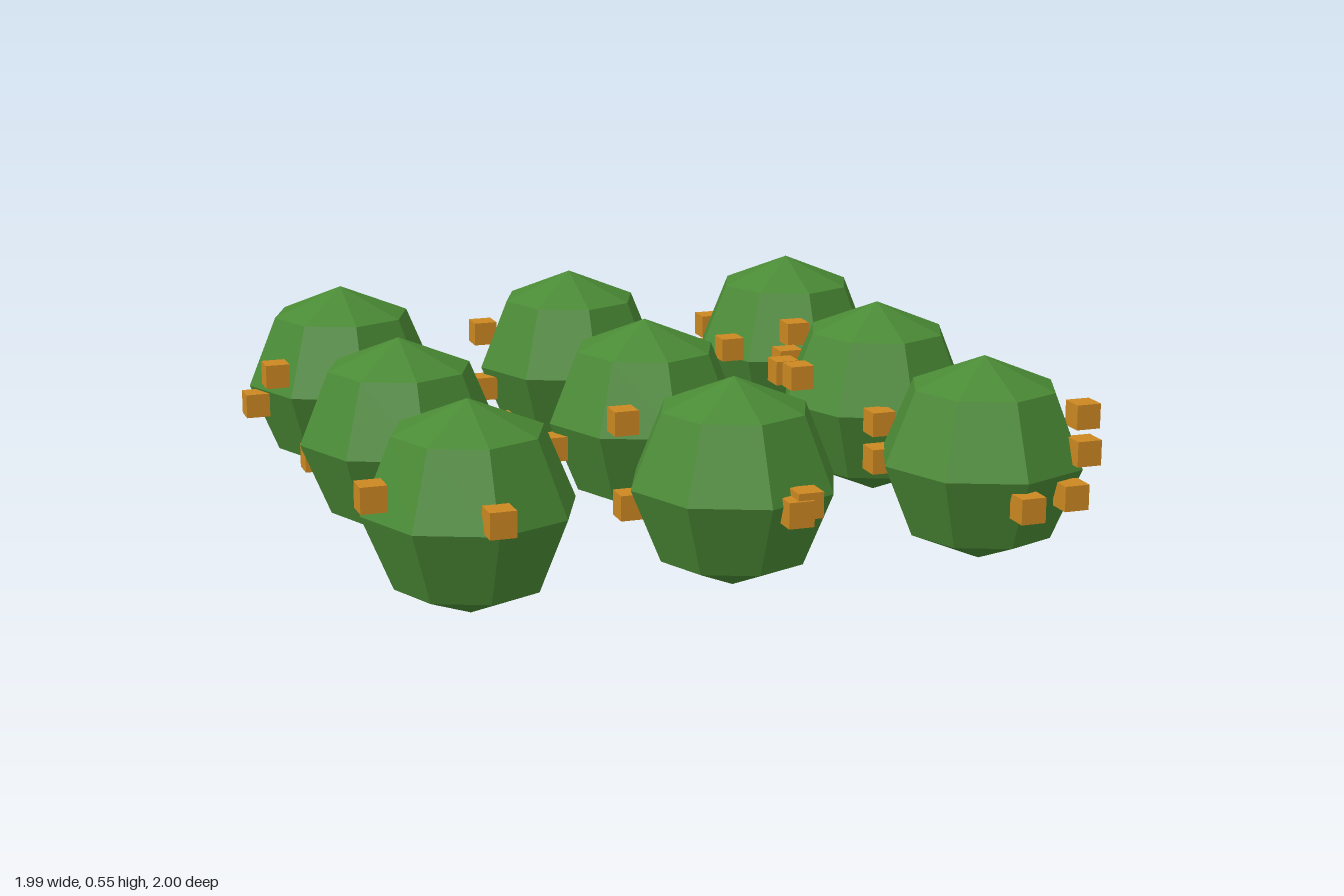
import * as THREE from 'three';

const RADIUS = 0.274, SPACING = 0.692, CUBE = 0.067;

// Fruit on each bush: [angle in degrees from +x towards +z, height]
const bushes = [
  { col: -1, row: -1, fruit: [[266, 0.27], [278, 0.29], [298, 0.23], [168, 0.235], [146, 0.34]] },
  { col: 0, row: -1, fruit: [[271, 0.27], [215, 0.345], [176, 0.22], [41, 0.345], [56, 0.175]] },
  { col: 1, row: -1, fruit: [[232, 0.3], [210, 0.235], [149, 0.31], [106, 0.372], [69, 0.182]] },
  { col: -1, row: 0, fruit: [[225, 0.185], [316, 0.29], [356, 0.22], [4, 0.285], [86, 0.345]] },
  { col: 0, row: 0, fruit: [[175, 0.215], [121, 0.33], [65, 0.25], [307, 0.19], [4, 0.193]] },
  { col: 1, row: 0, fruit: [[226, 0.35], [184, 0.365], [165, 0.37], [111, 0.27], [79, 0.27]] },
  { col: -1, row: 1, fruit: [[275, 0.235], [280, 0.335], [316, 0.32], [164, 0.345], [90, 0.313]] },
  { col: 0, row: 1, fruit: [[257, 0.235], [215, 0.19], [334, 0.207], [76, 0.262], [70, 0.28]] },
  { col: 1, row: 1, fruit: [[219, 0.245], [8, 0.377], [45, 0.325], [59, 0.223], [90, 0.213]] },
];

export function createModel() {
  const leafGreen = new THREE.MeshStandardMaterial({ color: 0x4a8a35 });
  leafGreen.name = 'leafGreen';
  const fruitOrange = new THREE.MeshStandardMaterial({ color: 0xcc8822 });
  fruitOrange.name = 'fruitOrange';

  // Faceted eight-sided ball for the foliage
  const foliageGeo = new THREE.SphereGeometry(RADIUS, 8, 4).toNonIndexed();
  foliageGeo.computeVertexNormals();
  const fruitGeo = new THREE.BoxGeometry(CUBE, CUBE, CUBE);

  const model = new THREE.Group();
  model.name = 'bushField';

  for (const { col, row, fruit } of bushes) {
    const bush = new THREE.Group();
    bush.name = 'bush';
    bush.position.set(col * SPACING, 0, row * SPACING);

    const foliage = new THREE.Mesh(foliageGeo, leafGreen);
    foliage.name = 'foliage';
    foliage.position.y = RADIUS;
    bush.add(foliage);

    // Cubes of fruit around the widest part
    for (const [degrees, height] of fruit) {
      const a = THREE.MathUtils.degToRad(degrees);
      const cube = new THREE.Mesh(fruitGeo, fruitOrange);
      cube.name = 'fruit';
      cube.position.set(RADIUS * Math.cos(a), height, RADIUS * Math.sin(a));
      bush.add(cube);
    }
    model.add(bush);
  }
  return model;
}
